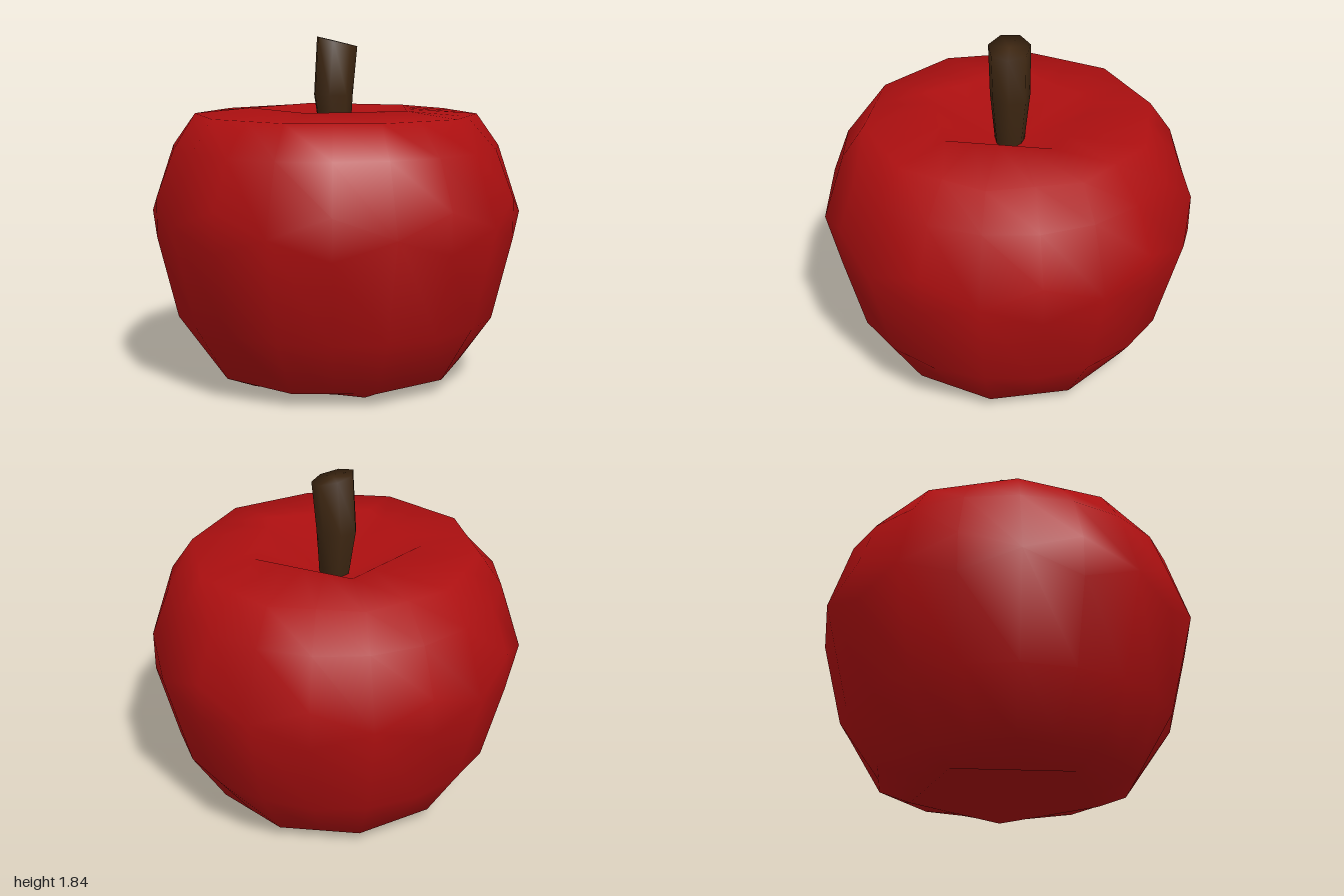
import * as THREE from 'three';
import { mergeVertices } from 'three/addons/utils/BufferGeometryUtils.js';

// Smooth skin over rings listed from top to bottom; point(ring, angle, column) gives [x, y, z].
function loft(rings, columns, point) {
  const positions = [], index = [];
  rings.forEach((ring, i) => {
    for (let j = 0; j < columns; j++) {
      positions.push(...point(ring, (j / columns) * Math.PI * 2, j));
      if (i === rings.length - 1) continue;
      const a = i * columns + j, b = i * columns + ((j + 1) % columns);
      index.push(a, b, a + columns, b, b + columns, a + columns);
    }
  });
  let geometry = new THREE.BufferGeometry();
  geometry.setAttribute('position', new THREE.Float32BufferAttribute(positions, 3));
  geometry.setIndex(index);
  geometry = mergeVertices(geometry, 1e-4);
  geometry.computeVertexNormals();
  return geometry;
}

// Radius of a regular polygon at an angle, with one corner at tip.
function polygonRadius(r, sides, tip, angle) {
  const step = (Math.PI * 2) / sides;
  const local = (((angle - tip) % step) + step) % step;
  return (r * Math.cos(step / 2)) / Math.cos(local - step / 2);
}

export function createModel() {
  const red = new THREE.MeshStandardMaterial({ color: 0xac0f10 });
  red.name = 'apple red';
  const brown = new THREE.MeshStandardMaterial({ color: 0x3e2712 });
  brown.name = 'stem brown';
  const group = new THREE.Group();
  group.name = 'apple';

  // Fruit: hollow top, pentagonal rims, faceted waist, hollow base
  const fruitRings = [
    { r: 0, y: 1.24 },
    { r: 0.46, y: 1.46, sides: 5, tip: Math.PI / 5 },
    { r: 0.76, y: 1.43, sides: 10, tip: 0 },
    { r: 0.88, y: 1.26 },
    { r: 0.975, y: 1.01, waist: true },
    { r: 0.975, y: 0.8, waist: true },
    { r: 0.87, y: 0.37 },
    { r: 0.69, y: 0.07, sides: 10, tip: 0 },
    { r: 0.52, y: 0, sides: 5, tip: 0 },
    { r: 0, y: 0.17 },
  ];
  const fruit = new THREE.Mesh(loft(fruitRings, 20, (ring, angle, column) => {
    let { r, y } = ring;
    if (ring.sides) r = polygonRadius(r, ring.sides, ring.tip, angle);
    // Every second waist corner pinches to a single outer point
    if (ring.waist && column % 2 === 0) { r = 1; y = 0.9; }
    return [r * Math.cos(angle), y, r * Math.sin(angle)];
  }), red);
  fruit.name = 'fruit';

  // Stem: seven sides, slanted top, tapering into the hollow
  const stemRings = [
    { r: 0, y: 1.815, x: 0.005, slant: 0 },
    { r: 0.112, y: 1.815, x: 0.005, slant: -0.24 },
    { r: 0.108, y: 1.53, x: -0.015, slant: 0 },
    { r: 0.075, y: 1.22, x: 0, slant: 0 },
    { r: 0, y: 1.2, x: 0, slant: 0 },
  ];
  const stem = new THREE.Mesh(loft(stemRings, 7, (ring, angle) => {
    const x = ring.r * Math.cos(angle + 1.7);
    return [ring.x + x, ring.y + ring.slant * x, ring.r * Math.sin(angle + 1.7)];
  }), brown);
  stem.name = 'stem';

  group.add(fruit, stem);
  return group;
}
